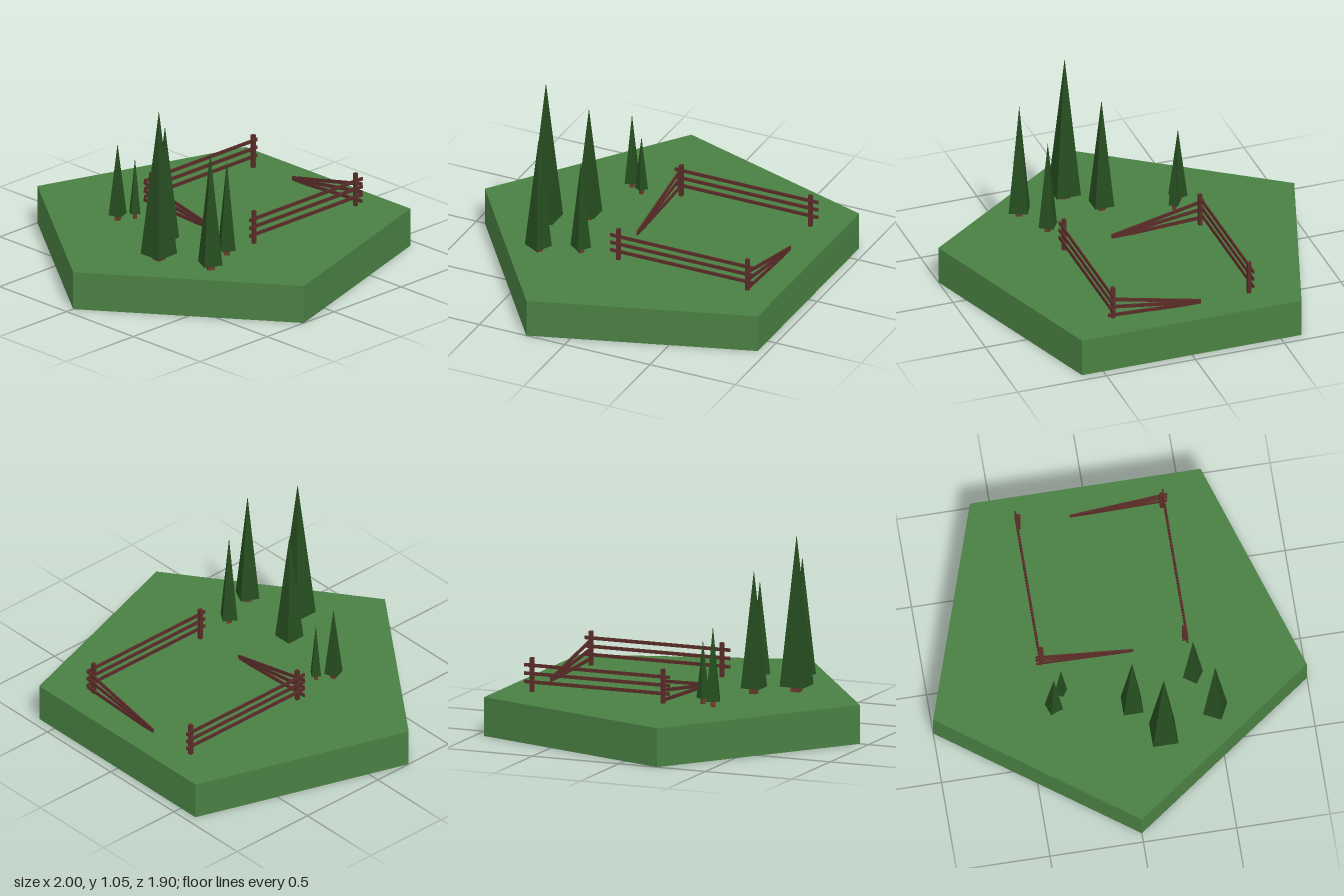
import * as THREE from 'three';

const GROUND = 0.21;
const grass = new THREE.MeshStandardMaterial({ color: 0x4a8043 });
const needles = new THREE.MeshStandardMaterial({ color: 0x264d20 });
const bark = new THREE.MeshStandardMaterial({ color: 0x6b3a2a });
const wood = new THREE.MeshStandardMaterial({ color: 0x5a2c28 });

function box(name, w, h, d, material, x, y, z) {
  const mesh = new THREE.Mesh(new THREE.BoxGeometry(w, h, d), material);
  mesh.name = name;
  mesh.position.set(x, y, z);
  return mesh;
}

// Five-sided slab of ground
function createGround() {
  const corners = [[0, 0.95], [1, 0.225], [0.62, -0.95], [-0.615, -0.95], [-1, 0.22]];
  const shape = new THREE.Shape(corners.map(([x, z]) => new THREE.Vector2(x, -z)));
  const geometry = new THREE.ExtrudeGeometry(shape, { depth: GROUND, bevelEnabled: false });
  geometry.rotateX(-Math.PI / 2);
  const mesh = new THREE.Mesh(geometry, grass);
  mesh.name = 'ground';
  return mesh;
}

// Four-sided conifer: faceted pyramid on a short square trunk
function createTree(x, z, half, top, turn) {
  const tree = new THREE.Group();
  tree.name = 'tree';
  const foliageBase = 0.243, height = top - foliageBase;
  const cone = new THREE.ConeGeometry(half * Math.SQRT2, height, 4)
    .rotateY(Math.PI / 4).toNonIndexed();
  cone.computeVertexNormals();
  const foliage = new THREE.Mesh(cone, needles);
  foliage.name = 'foliage';
  foliage.position.y = foliageBase + height / 2;
  const w = half * 0.72;
  tree.add(foliage, box('trunk', w, 0.05, w, bark, 0, GROUND + 0.02, 0));
  tree.position.set(x, 0, z);
  tree.rotation.y = turn;
  return tree;
}

// Standing fence along z: two posts on the inner side and three rails
function createStandingFence(side) {
  const fence = new THREE.Group();
  fence.name = side > 0 ? 'leftFence' : 'rightFence';
  for (const z of [-0.775, -0.018])
    fence.add(box('post', 0.02, 0.185, 0.02, wood, side * 0.383, GROUND + 0.0925, z));
  for (const y of [0.265, 0.31, 0.355])
    fence.add(box('rail', 0.008, 0.018, 0.84, wood, side * 0.394, y, -0.395));
  return fence;
}

// Collapsed fence along x: rails hang from a corner and meet at the ground
function createFallenFence(side, z) {
  const fence = new THREE.Group();
  fence.name = side > 0 ? 'backFallenFence' : 'frontFallenFence';
  for (const [high, low] of [[0.337, 0.224], [0.29, 0.219], [0.238, 0.214]]) {
    const dx = -side * 0.52, dy = low - high;
    const rail = box('fallenRail', Math.hypot(dx, dy), 0.018, 0.008, wood,
      side * 0.155, (high + low) / 2, z);
    rail.rotation.z = Math.atan(dy / dx);
    fence.add(rail);
  }
  return fence;
}

export function createModel() {
  const model = new THREE.Group();
  model.name = 'meadow';
  model.add(createGround());
  // x, z, half width, top, turn
  const trees = [
    [0.19, 0.5, 0.068, 1.055, 0],
    [0.05, 0.315, 0.053, 0.875, 0],
    [0.48, 0.405, 0.051, 0.875, -0.46],
    [0.395, 0.197, 0.04, 0.745, -0.6],
    [-0.36, 0.26, 0.036, 0.645, 0.35],
    [-0.31, 0.18, 0.025, 0.555, -0.6],
  ];
  for (const t of trees) model.add(createTree(...t));
  model.add(createStandingFence(1), createStandingFence(-1));
  model.add(createFallenFence(-1, 0.006), createFallenFence(1, -0.792));
  return model;
}
